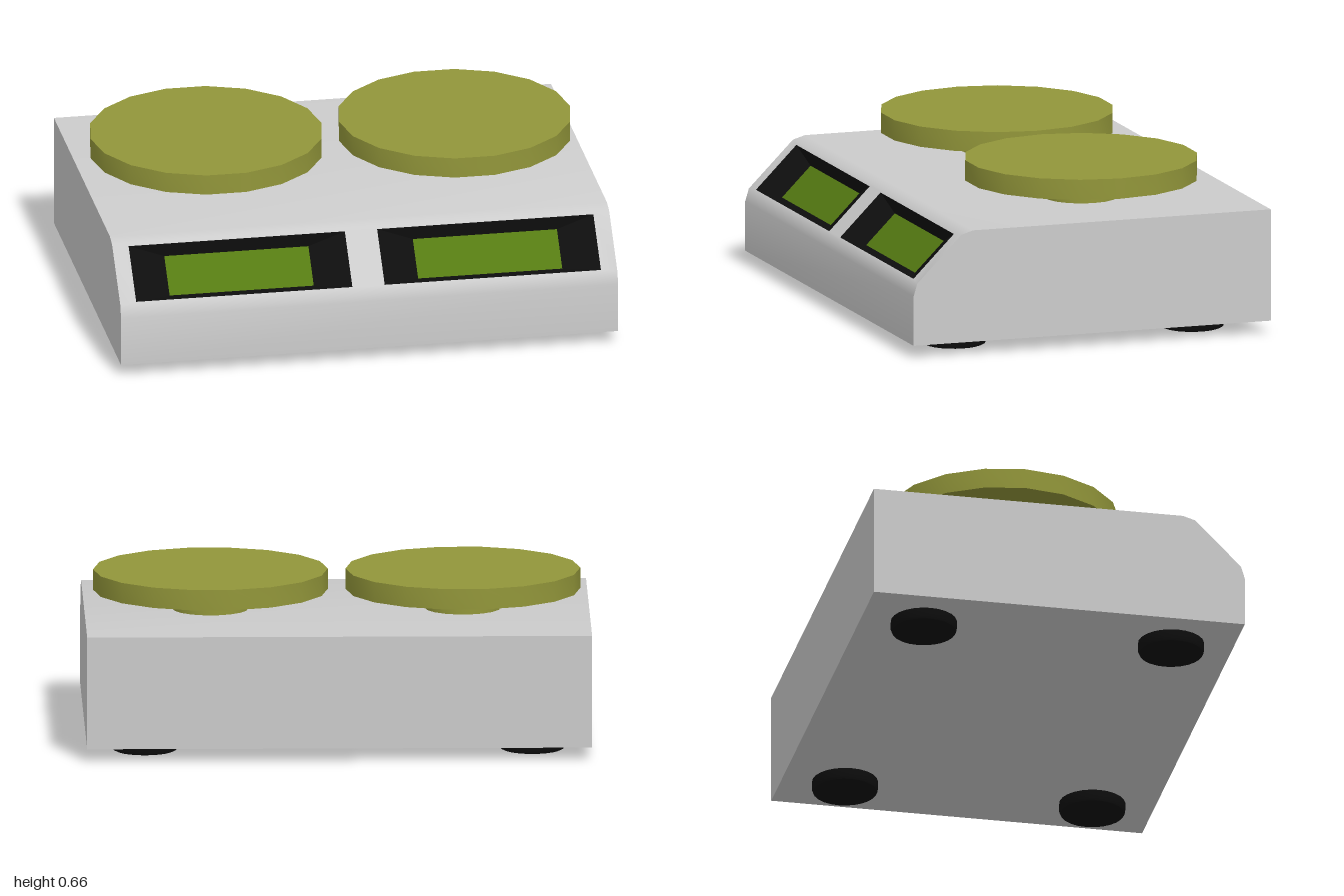
import * as THREE from 'three';
import { mergeGeometries, toCreasedNormals } from 'three/addons/utils/BufferGeometryUtils.js';

const paint = (color) => new THREE.MeshStandardMaterial({ color });
const grey = paint(0xcccccc);
const black = paint(0x0e0e0e);
const olive = paint(0x92963a);
const green = paint(0x567c12);

function addMesh(parent, name, geometry, material) {
  const mesh = new THREE.Mesh(geometry, material);
  mesh.name = name;
  parent.add(mesh);
  return mesh;
}

// Flat geometry from four-cornered faces, corners counter-clockwise
function quads(faces) {
  const pos = faces.flatMap(([a, b, c, d]) => [a, b, c, a, c, d]).flat();
  const g = new THREE.BufferGeometry();
  g.setAttribute('position', new THREE.Float32BufferAttribute(pos, 3));
  g.computeVertexNormals();
  return g;
}

// Corners of a rectangle, counter-clockwise seen from +z
const rect = (x0, y0, x1, y1, z = 0) => [[x0, y0, z], [x1, y0, z], [x1, y1, z], [x0, y1, z]];
const toPath = (PathType, corners) =>
  new PathType(corners.map(([x, y]) => new THREE.Vector2(x, y)));

// Side profile as [z, y], from the top of the sloped face round to its foot
const PROFILE = [
  [0.55, 0.485], [0.5, 0.5], [-0.75, 0.5], [-0.75, 0.05],
  [0.75, 0.05], [0.75, 0.25], [0.735, 0.3],
];
const SLOPE = new THREE.Matrix4()
  .makeTranslation(0, 0.3, 0.735)
  .multiply(new THREE.Matrix4().makeRotationX(-Math.PI / 4));
const SLOPE_LENGTH = 0.185 * Math.SQRT2;

// Window opening and the smaller screen at the bottom of its recess
const opening = (cx) => rect(cx - 0.435, 0.01, cx + 0.435, 0.25);
const screen = (cx) => rect(cx - 0.29, 0.046, cx + 0.29, 0.216, -0.046);
const SIDES = [[-0.5, 'right'], [0.5, 'left']];

function bodyGeometry() {
  // Top, back, bottom and front strips
  const strips = PROFILE.slice(1).map(([z1, y1], i) => {
    const [z0, y0] = PROFILE[i];
    return [[-1, y0, z0], [1, y0, z0], [1, y1, z1], [-1, y1, z1]];
  });
  const parts = [quads(strips)];

  // Flat side walls
  for (const s of [-1, 1]) {
    const wall = toPath(THREE.Shape, PROFILE.map(([z, y]) => [-s * z, y]));
    parts.push(new THREE.ShapeGeometry(wall).rotateY(s * Math.PI / 2).translate(s, 0, 0));
  }

  // Sloped face with two window openings
  const face = toPath(THREE.Shape, rect(-1, 0, 1, SLOPE_LENGTH));
  for (const [cx] of SIDES) face.holes.push(toPath(THREE.Path, opening(cx)));
  parts.push(new THREE.ShapeGeometry(face).applyMatrix4(SLOPE));

  const plain = parts.map((g) => {
    const p = g.index ? g.toNonIndexed() : g;
    p.deleteAttribute('uv');
    return p;
  });
  return toCreasedNormals(mergeGeometries(plain), Math.PI / 5);
}

// Turned part from [radius, y] points, ordered bottom to top
function turned(points, sides) {
  const g = new THREE.LatheGeometry(points.map(([r, y]) => new THREE.Vector2(r, y)), sides);
  return toCreasedNormals(g, Math.PI / 6);
}

export function createModel() {
  const model = new THREE.Group();
  model.name = 'doubleScale';
  addMesh(model, 'body', bodyGeometry(), grey);

  const plate = turned(
    [[0.15, 0.49], [0.15, 0.532], [0.465, 0.578], [0.465, 0.66], [0, 0.66]], 18);
  const foot = turned(
    [[0, 0], [0.115, 0], [0.126, 0.005], [0.131, 0.016], [0.131, 0.055]], 24);

  for (const [cx, side] of SIDES) {
    // Recessed display: tapering frame around a flat screen
    const outer = opening(cx);
    const inner = screen(cx);
    const frame = outer.map((corner, i) => {
      const j = (i + 1) % 4;
      return [corner, outer[j], inner[j], inner[i]];
    });
    addMesh(model, side + 'DisplayFrame', quads(frame).applyMatrix4(SLOPE), black);
    addMesh(model, side + 'DisplayScreen', quads([inner]).applyMatrix4(SLOPE), green);

    // Weighing plate on its short neck
    const dish = addMesh(model, side + 'Plate', plate, olive);
    dish.position.set(cx, 0, -0.13);
    dish.rotation.y = Math.PI / 18;

    // Feet
    for (const [z, end] of [[0.5, 'Front'], [-0.5, 'Back']]) {
      addMesh(model, side + end + 'Foot', foot, black).position.set(Math.sign(cx) * 0.767, 0, z);
    }
  }
  return model;
}
